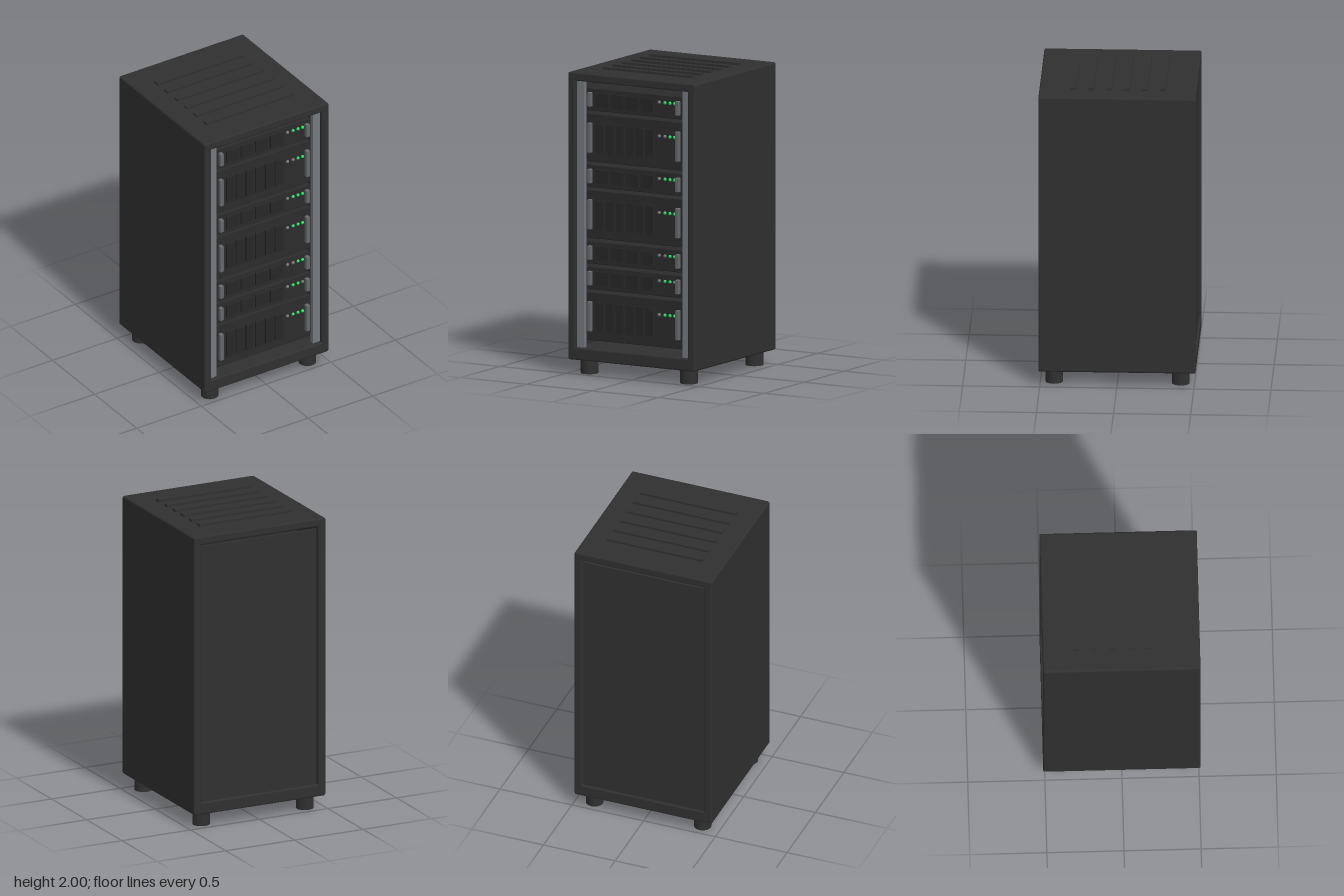
import * as THREE from 'three';
import { RoundedBoxGeometry } from 'three/addons/geometries/RoundedBoxGeometry.js';

const material = (name, color) => {
  const m = new THREE.MeshStandardMaterial({ color });
  m.name = name;
  return m;
};

export function createModel() {
  const mats = {
    cabinet: material('cabinet charcoal', 0x303030),
    server: material('server black', 0x2b2b2c),
    bay: material('bay black', 0x272728),
    rail: material('rail steel', 0x74787d),
    handle: material('handle grey', 0x66676a),
    off: material('unlit grey', 0x777a7c),
    on: material('lit green', 0x2ee06a),
  };
  const model = new THREE.Group();
  model.name = 'serverCabinet';

  const add = (parent, name, geometry, mat, x = 0, y = 0, z = 0) => {
    const mesh = new THREE.Mesh(geometry, mat);
    mesh.name = name;
    mesh.position.set(x, y, z);
    parent.add(mesh);
    return mesh;
  };
  const box = (w, h, d) => new THREE.BoxGeometry(w, h, d);

  // Cabinet shell: rounded rectangular tube, open at front and back
  const W = 0.48, BOTTOM = 0.095, TOP = 1.985, R = 0.014, BEVEL = 0.01;
  const outline = new THREE.Shape();
  outline.moveTo(-W + R, BOTTOM);
  outline.lineTo(W - R, BOTTOM);
  outline.absarc(W - R, BOTTOM + R, R, -Math.PI / 2, 0);
  outline.absarc(W - R, TOP - R, R, 0, Math.PI / 2);
  outline.absarc(-W + R, TOP - R, R, Math.PI / 2, Math.PI);
  outline.absarc(-W + R, BOTTOM + R, R, Math.PI, Math.PI * 1.5);
  const opening = new THREE.Path();
  opening.moveTo(-0.426, 0.177);
  opening.lineTo(-0.426, 1.93);
  opening.lineTo(0.426, 1.93);
  opening.lineTo(0.426, 0.177);
  opening.closePath();
  outline.holes.push(opening);
  const shell = new THREE.ExtrudeGeometry(outline, {
    depth: 1.02 - 2 * BEVEL, bevelEnabled: true, bevelThickness: BEVEL,
    bevelSize: BEVEL, bevelOffset: -BEVEL, bevelSegments: 3, curveSegments: 4,
  });
  add(model, 'cabinetShell', shell, mats.cabinet, 0, 0, -0.51 + BEVEL);

  // Back door, stopping just short of the top of the opening
  add(model, 'backPanel', box(0.84, 1.737, 0.02), mats.cabinet, 0, 1.0435, -0.485);

  // Roof vent slats
  for (let i = 0; i < 6; i++) {
    add(model, 'roofVent', box(0.67, 0.02, 0.04), mats.cabinet, 0, 1.99, -0.29 + i * 0.116);
  }

  // Feet and front mounting rails
  for (const x of [-1, 1]) {
    for (const z of [-1, 1]) {
      add(model, 'foot', new THREE.CylinderGeometry(0.057, 0.057, 0.1, 24), mats.cabinet, x * 0.377, 0.05, z * 0.41);
    }
    add(model, 'mountingRail', box(0.053, 1.753, 0.03), mats.rail, x * 0.399, 1.0535, 0.47);
  }

  // One server: units tall, lights as a string of 1 (lit) and 0 (unlit)
  const UNIT = 0.1678, GAP = 0.018, FACE = 0.465;
  const ledGeometry = new THREE.SphereGeometry(0.011, 10, 8);
  const ledX = [0.187, 0.23, 0.268, 0.303];
  const makeServer = (units, lights) => {
    const server = new THREE.Group();
    server.name = units === 1 ? 'slimServer' : 'tallServer';
    const h = units * UNIT - GAP;
    add(server, 'serverBody', box(0.71, h - 0.01, 0.8), mats.server, 0, 0, FACE - 0.42);
    add(server, 'facePlate', new RoundedBoxGeometry(0.73, h, 0.03, 2, 0.006), mats.server, 0, 0, FACE - 0.015);

    // Drive bays
    const count = units === 1 ? 4 : 6;
    const pitch = units === 1 ? 0.113 : 0.075;
    const bayW = units === 1 ? 0.096 : 0.06;
    const bayH = units === 1 ? 0.09 : 0.19;
    for (let i = 0; i < count; i++) {
      add(server, 'driveBay', box(bayW, bayH, 0.02), mats.bay, -0.288 + bayW / 2 + i * pitch, 0, FACE + 0.004);
    }

    // Pull handles
    for (const side of [-1, 1]) {
      add(server, 'handle', new RoundedBoxGeometry(0.028, units === 1 ? 0.095 : 0.198, 0.03, 2, 0.006),
        mats.handle, side * 0.333, 0, FACE + 0.013);
    }

    // Status lights
    ledX.forEach((x, i) => {
      const lit = lights[i] === '1';
      add(server, lit ? 'litLight' : 'unlitLight', ledGeometry, lit ? mats.on : mats.off, x, h * 0.175, FACE + 0.003);
    });
    return server;
  };

  // Stack of servers from the top down
  const stack = [[1, '0111'], [2, '0011'], [1, '0111'], [2, '0111'], [1, '0011'], [1, '0110'], [2, '0111']];
  let top = 1.886;
  for (const [units, lights] of stack) {
    const server = makeServer(units, lights);
    server.position.y = top - (units * UNIT - GAP) / 2;
    model.add(server);
    top -= units * UNIT;
  }
  return model;
}
